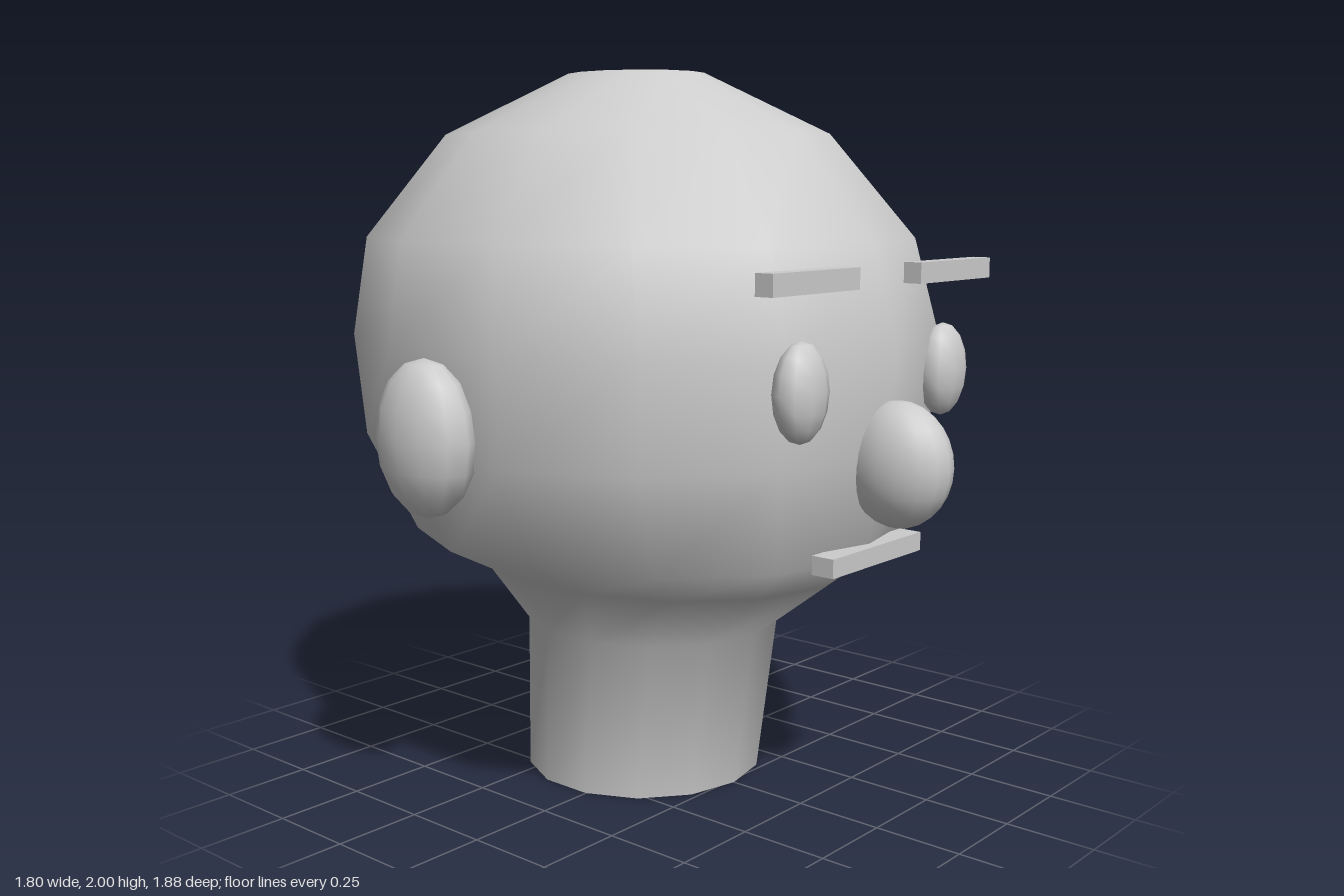
import * as THREE from 'three';

const SIDES = 14;
const grey = new THREE.MeshStandardMaterial({ color: 0xcccccc });
grey.name = 'plain grey';

// Head and neck rings: height, x radius, front z, back z
const RINGS = [
  [0, 0.345, 0.265, -0.42],
  [0.45, 0.36, 0.33, -0.415],
  [0.63, 0.49, 0.57, -0.565],
  [0.73, 0.68, 0.7, -0.735],
  [1.0, 0.78, 0.75, -0.89],
  [1.28, 0.79, 0.78, -0.94],
  [1.55, 0.75, 0.7, -0.885],
  [1.83, 0.52, 0.46, -0.665],
  [2.0, 0.18, 0.1, -0.31],
];

function ringPoints([y, rx, front, back]) {
  const pts = [];
  for (let i = 0; i < SIDES; i++) {
    const a = (i / SIDES) * Math.PI * 2;
    pts.push(rx * Math.sin(a), y, (front + back) / 2 + ((front - back) / 2) * Math.cos(a));
  }
  return pts;
}

function geometry(positions, index) {
  const g = new THREE.BufferGeometry();
  g.setAttribute('position', new THREE.Float32BufferAttribute(positions, 3));
  g.setIndex(index);
  g.computeVertexNormals();
  return g;
}

// Smooth skin joining the rings
function loft() {
  const index = [];
  for (let r = 0; r < RINGS.length - 1; r++) {
    for (let i = 0; i < SIDES; i++) {
      const j = (i + 1) % SIDES;
      const a = r * SIDES + i, b = r * SIDES + j;
      index.push(a, b, b + SIDES, a, b + SIDES, a + SIDES);
    }
  }
  return geometry(RINGS.flatMap(ringPoints), index);
}

// Flat cap with its own normals
function cap(ring, up) {
  const index = [];
  for (let i = 1; i < SIDES - 1; i++) index.push(0, up ? i : i + 1, up ? i + 1 : i);
  return geometry(ringPoints(ring), index);
}

export function createModel() {
  const model = new THREE.Group();
  model.name = 'headBust';

  const add = (name, geo, x = 0, y = 0, z = 0) => {
    const mesh = new THREE.Mesh(geo, grey);
    mesh.name = name;
    mesh.position.set(x, y, z);
    model.add(mesh);
    return mesh;
  };
  const ellipsoid = (name, pos, radii, w, h) =>
    add(name, new THREE.SphereGeometry(1, w, h), ...pos).scale.set(...radii);

  add('headAndNeck', loft());
  add('crown', cap(RINGS[RINGS.length - 1], true));
  add('neckBase', cap(RINGS[0], false));

  // Face
  ellipsoid('nose', [0, 0.99, 0.79], [0.105, 0.165, 0.15], 16, 14);
  add('mouth', new THREE.BoxGeometry(0.41, 0.05, 0.065), 0, 0.745, 0.703);

  // Paired features
  for (const [side, s] of [['left', 1], ['right', -1]]) {
    ellipsoid(side + 'Eye', [s * 0.325, 1.2, 0.715], [0.088, 0.126, 0.06], 10, 8);
    ellipsoid(side + 'Ear', [s * 0.8, 1.06, -0.105], [0.1, 0.205, 0.16], 12, 8);
    add(side + 'Eyebrow', new THREE.BoxGeometry(0.355, 0.055, 0.052), s * 0.318, 1.468, 0.73);
  }
  return model;
}
